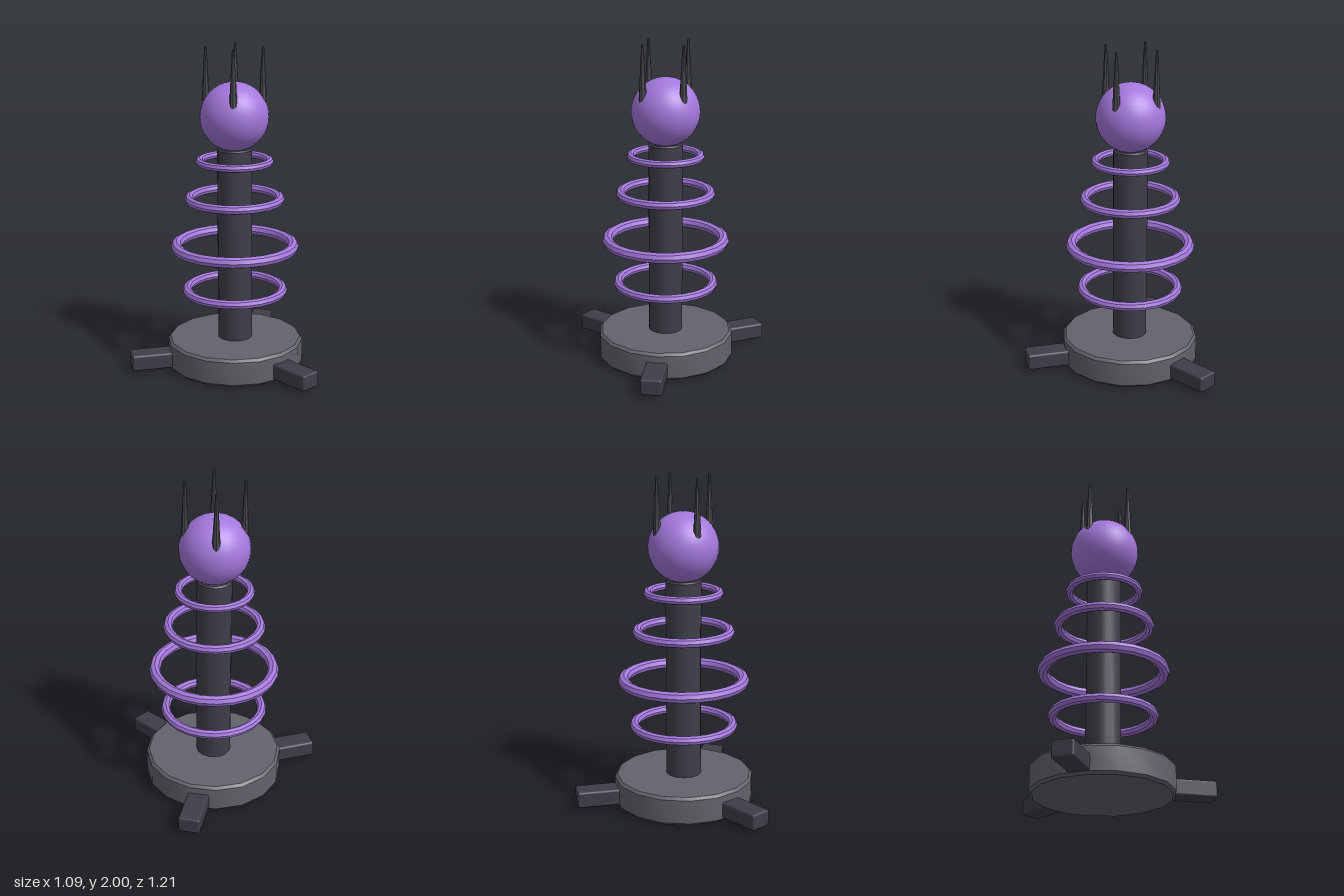
import * as THREE from 'three';
import { toCreasedNormals } from 'three/addons/utils/BufferGeometryUtils.js';
import { RoundedBoxGeometry } from 'three/addons/geometries/RoundedBoxGeometry.js';

const material = (name, color) => {
  const m = new THREE.MeshStandardMaterial({ color });
  m.name = name;
  return m;
};

// Closed cylinder with chamfered rims, sharp only at the strong edges
function chamferedCylinder(radius, y0, y1, bevel, sides) {
  const profile = [
    [0, y0], [radius - bevel, y0], [radius, y0 + bevel],
    [radius, y1 - bevel], [radius - bevel, y1], [0, y1],
  ].map(([x, y]) => new THREE.Vector2(x, y));
  return toCreasedNormals(new THREE.LatheGeometry(profile, sides), 0.6);
}

export function createModel() {
  const purple = material('purple', 0xa478dc);
  const grey = material('base grey', 0x62636b);
  const dark = material('dark metal', 0x3e3e49);
  const spikeGrey = material('spike grey', 0x4a4b50);

  const model = new THREE.Group();
  model.name = 'ringedTower';
  const tower = new THREE.Group();
  tower.name = 'tower';
  tower.position.x = -0.123;
  model.add(tower);

  const add = (name, geometry, mat) => {
    const mesh = new THREE.Mesh(geometry, mat);
    mesh.name = name;
    tower.add(mesh);
    return mesh;
  };

  // Base disc and column
  add('base', chamferedCylinder(0.424, 0, 0.175, 0.016, 16), grey);
  add('column', chamferedCylinder(0.106, 0.12, 1.385, 0.01, 16), dark);

  // Three feet radiating from the base
  const foot = new RoundedBoxGeometry(0.36, 0.1, 0.132, 2, 0.013);
  foot.translate(0.485, 0.068, 0);
  for (let i = 0; i < 3; i++) {
    add('foot', foot, dark).rotation.y = (i * Math.PI * 2) / 3;
  }

  // Floating rings: height, outer radius, tube radius
  const rings = [
    [0.485, 0.327, 0.028],
    [0.77, 0.396, 0.034],
    [1.07, 0.306, 0.028],
    [1.305, 0.238, 0.024],
  ];
  for (const [y, outer, tube] of rings) {
    const ring = new THREE.TorusGeometry(outer - tube, tube, 8, 24);
    ring.rotateX(Math.PI / 2);
    add('ring', toCreasedNormals(ring, 0.6), purple).position.y = y;
  }

  // Orb with four upright spikes
  add('orb', new THREE.SphereGeometry(0.21, 32, 20), purple).position.y = 1.58;
  const spike = new THREE.CylinderGeometry(0.007, 0.025, 0.34, 8);
  spike.translate(0, 1.83, 0);
  const spikeGeometry = toCreasedNormals(spike, 0.6);
  for (const x of [-1, 1]) {
    for (const z of [-1, 1]) {
      add('spike', spikeGeometry, spikeGrey).position.set(x * 0.121, 0, z * 0.121);
    }
  }

  return model;
}
